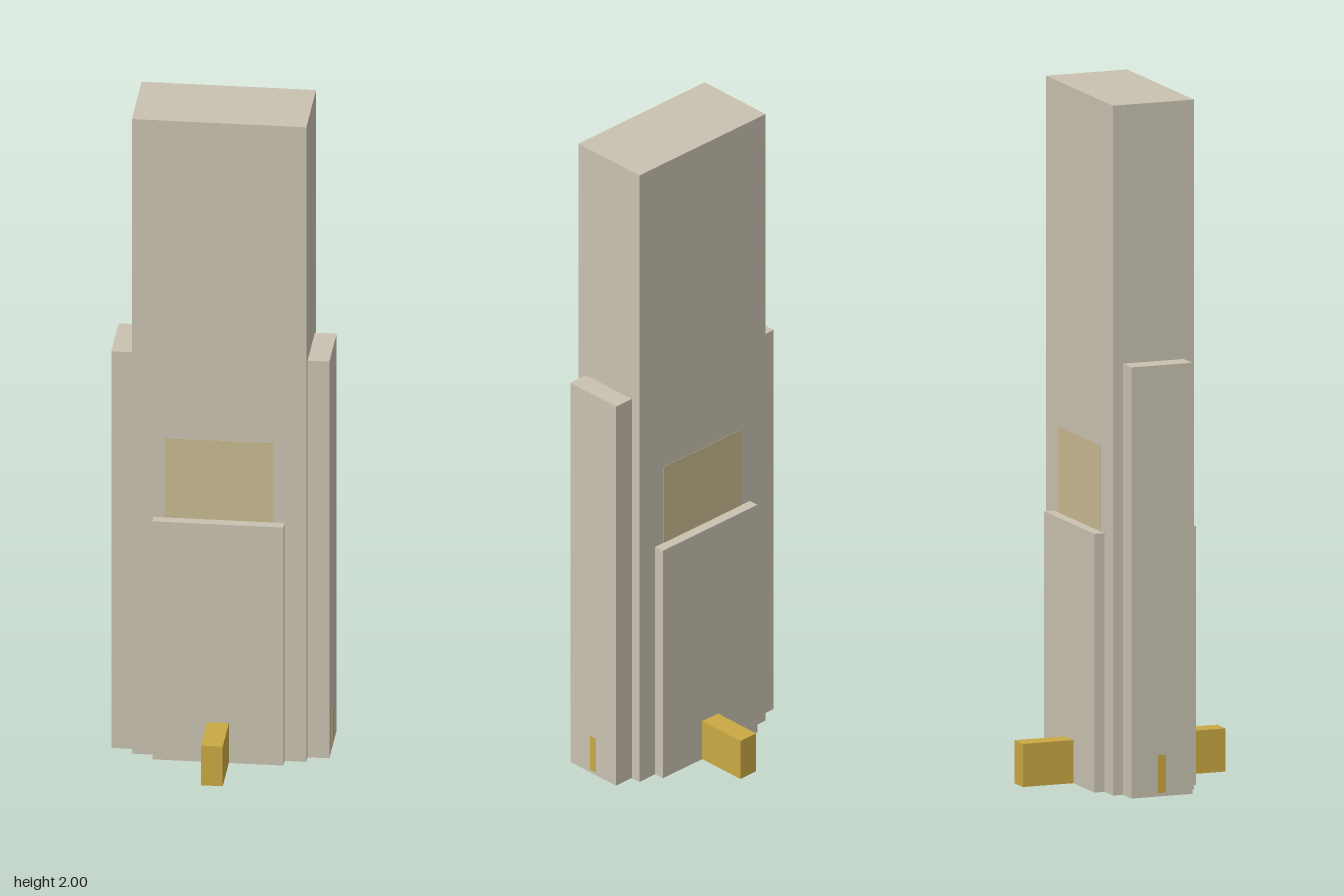
import * as THREE from 'three';

const stone = new THREE.MeshStandardMaterial({ name: 'stone', color: 0xc9c2b2 });
const gold = new THREE.MeshStandardMaterial({ name: 'gold', color: 0xc9a843 });
const paleGold = new THREE.MeshStandardMaterial({ name: 'paleGold', color: 0xc8ba90 });

export function createModel() {
  const group = new THREE.Group();

  // Box standing on height y, centred on x and z
  function block(name, material, [w, h, d], [x, y, z] = [0, 0, 0]) {
    const mesh = new THREE.Mesh(new THREE.BoxGeometry(w, h, d), material);
    mesh.name = name;
    mesh.position.set(x, y + h / 2, z);
    group.add(mesh);
  }

  // Stepped tower: tall core, side wings, front and back slab
  block('tower', stone, [0.5, 2, 0.25]);
  block('sideWings', stone, [0.625, 1.25, 0.1875]);
  block('frontBackSlab', stone, [0.375, 0.75, 0.3125]);

  for (const side of [1, -1]) {
    // Entrance bar projecting from the slab
    block('entranceBar', gold, [0.0625, 0.125, 0.1575], [0, 0, side * 0.23375]);
    // Pale panel above the slab
    block('panel', paleGold, [0.3125, 0.25, 0.002], [0, 0.75, side * 0.125]);
    // Narrow strip at the foot of each wing
    block('wingStrip', gold, [0.002, 0.11, 0.025], [side * 0.3125, 0.01, 0]);
  }
  return group;
}
